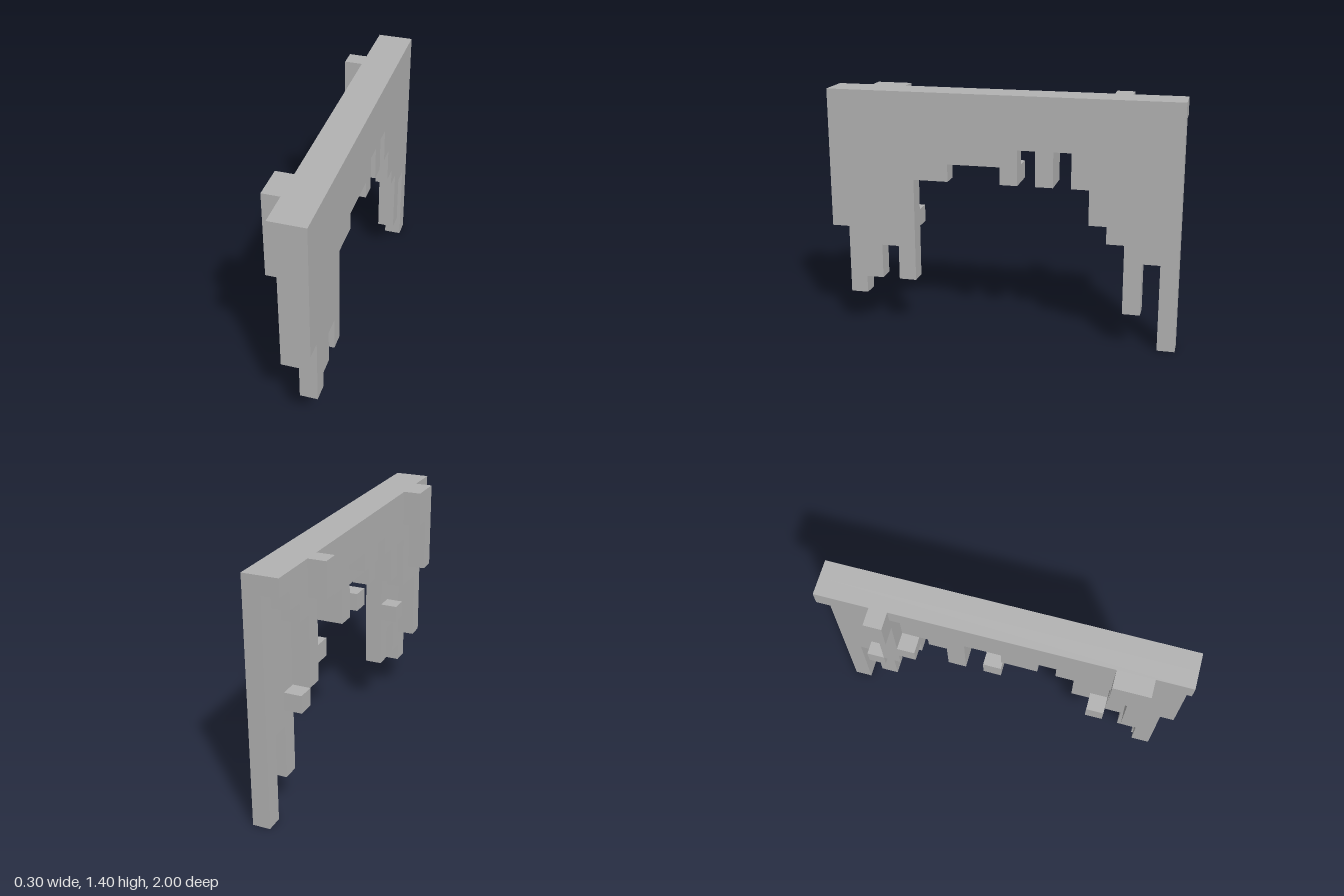
import * as THREE from 'three';

const U = 0.1;      // size of one block
const TOP = 1.4;    // height of the flat top

// Wall slab with a stepped lower edge: drops[i] is the hanging depth, in blocks,
// of the column i blocks forward of `start`; `right` is the slab's +x face.
function steppedSlab(drops, start, right) {
  const zAt = (i) => -1 + (start + i) * U;
  const shape = new THREE.Shape();
  shape.moveTo(zAt(0), TOP);
  drops.forEach((d, i) => {
    const y = TOP - d * U;
    if (d !== drops[i - 1]) shape.lineTo(zAt(i), y);
    if (d !== drops[i + 1]) shape.lineTo(zAt(i + 1), y);
  });
  shape.lineTo(zAt(drops.length), TOP);
  const geo = new THREE.ExtrudeGeometry(shape, { depth: U, bevelEnabled: false });
  geo.rotateY(-Math.PI / 2);   // profile runs along z, thickness towards -x
  geo.translate(right, 0, 0);
  return geo;
}

export function createModel() {
  const model = new THREE.Group();
  model.name = 'hangingVineArch';
  const grey = new THREE.MeshStandardMaterial({ color: 0xb2b2b2 });
  grey.name = 'plain grey';

  const add = (name, geo) => {
    const mesh = new THREE.Mesh(geo, grey);
    mesh.name = name;
    model.add(mesh);
    return mesh;
  };

  // Full outer curtain, from back to front
  add('outerCurtain', steppedSlab(
    [14, 9, 12, 8, 7, 5, 3, 5, 3, 5, 4, 4, 4, 5, 5, 11, 9, 11, 12, 8], 0, 0.15));

  // Shorter middle layer
  add('middleCurtain', steppedSlab(
    [1, 2, 3, 7, 1, 1, 3, 5, 2, 2, 3, 3, 2, 3, 5, 3, 6, 6, 10, 1], 0, 0.05));

  // Inner tufts at the two corners
  add('backTuft', steppedSlab([2], 3, -0.05));
  add('frontTuft', steppedSlab([2, 5], 16, -0.05));

  // Single blocks on the inner face: [column, depth of the block's top]
  for (const [column, depth] of [[2, 7], [4, 5], [9, 4], [15, 7]]) {
    add('looseBlock', new THREE.BoxGeometry(U, U, U))
      .position.set(0, TOP - (depth + 0.5) * U, -1 + (column + 0.5) * U);
  }
  return model;
}
